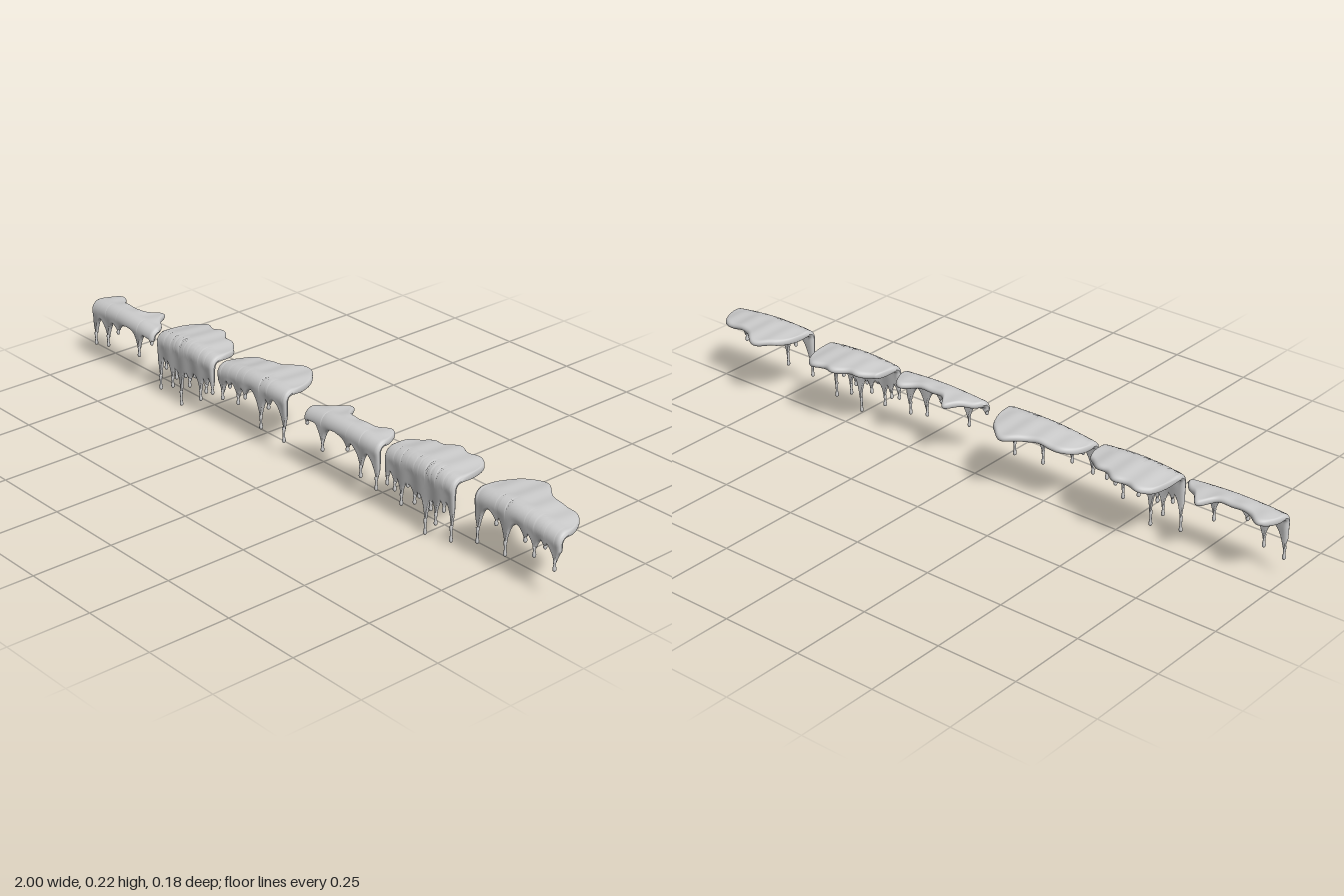
import * as THREE from 'three';

const material = new THREE.MeshStandardMaterial({ color: 0xcccccc, side: THREE.DoubleSide });
const FRONT = 0.076, BEND = 0.022;

// Each ledge spans x0..x1, and its mirrored copy sits at sum - x.
// top and hem: heights at both ends and the mid rise; depth, round and bumps
// [x, size, width] shape the back outline; drips are [x, tipY].
const ledges = [
  {
    name: 'shallowLedge', x0: -1, x1: -0.69, sum: -0.68,
    top: [0.204, 0.202, 0.008], hem: [0.158, 0.182, 0], flare: 0.014,
    depth: 0.06, round: [0.03, 0.06], bumps: [[-0.955, 0.03, 0.03], [-0.775, 0.045, 0.025]],
    drips: [[-0.989, 0.056], [-0.925, 0.07], [-0.87, 0.13], [-0.765, 0.09], [-0.7, 0.15]],
  },
  {
    name: 'longDripLedge', x0: -0.67, x1: -0.4, sum: -0.055,
    top: [0.206, 0.208, 0.01], hem: [0.15, 0.155, -0.025], flare: 0.0105,
    depth: 0.085, round: [0.025, 0.02], bumps: [[-0.615, 0.065, 0.05], [-0.535, 0.06, 0.04], [-0.465, 0.035, 0.035]],
    drips: [[-0.66, 0.018], [-0.63, 0.095], [-0.6, 0.045], [-0.58, 0.08], [-0.56, 0], [-0.535, 0.1],
      [-0.517, 0.075], [-0.49, 0.115], [-0.465, 0.05], [-0.438, 0.083], [-0.408, 0.09]],
  },
  {
    name: 'broadLedge', x0: -0.38, x1: -0.07, sum: 0.62,
    top: [0.204, 0.218, 0.01], hem: [0.168, 0.182, 0], flare: 0.015,
    depth: 0.115, round: [0.07, 0.045], bumps: [[-0.165, 0.053, 0.05]],
    drips: [[-0.36, 0.09], [-0.325, 0.14], [-0.288, 0.1], [-0.255, 0.13], [-0.185, 0.06], [-0.15, 0.135], [-0.083, 0.055]],
  },
];

const roundEnd = (d, r) => Math.sqrt(1 - (1 - THREE.MathUtils.clamp(d / r, 0, 1)) ** 2);

// Height along a ledge: straight between its ends plus a rise in the middle
function heightAt(l, [start, end, rise], x) {
  const f = (x - l.x0) / (l.x1 - l.x0);
  return start + (end - start) * f + rise * Math.sin(Math.PI * f);
}

// Wavy back outline: a slab with rounded corners and soft bumps
function backAt(l, x) {
  const reach = l.bumps.reduce((sum, [c, size, w]) => sum + size * Math.exp(-(((x - c) / w) ** 2)), l.depth);
  return FRONT - reach * roundEnd(x - l.x0, l.round[0]) * roundEnd(l.x1 - x, l.round[1]);
}

// Lower edge: arches that sag towards every drip
function hemAt(l, x) {
  const base = heightAt(l, l.hem, x);
  const sags = l.drips.map(([dx, tip]) => (base - tip) * 0.72 * Math.exp(-Math.abs(x - dx) / l.flare));
  return base - Math.max(0, ...sags);
}

// Thick sheet bent over the edge: one closed ring per column along x
function sheetGeometry(l, mirror) {
  const columns = 124, K = 28, ring = 2 * K - 2;
  const positions = [], index = [];
  for (let i = 0; i <= columns; i++) {
    const along = (l.x1 - l.x0) * i / columns;
    const x = mirror ? l.x1 - along : l.x0 + along;
    const placedX = mirror ? l.sum - x : x;
    const edge = roundEnd(Math.min(x - l.x0, l.x1 - x), 0.012);
    const topY = heightAt(l, l.top, x) - 0.01;
    const back = Math.min(backAt(l, x), FRONT - BEND);
    const flat = FRONT - BEND - back, arc = BEND * Math.PI / 2;
    const total = flat + arc + Math.max(0.005, topY - BEND - hemAt(l, x));
    const outer = [], inner = [];
    for (let k = 0; k < K; k++) {
      const s = total * (1 - Math.cos(Math.PI * k / (K - 1))) / 2;
      const a = THREE.MathUtils.clamp((s - flat) / BEND, 0, Math.PI / 2);
      const behind = Math.max(0, flat - s), down = Math.max(0, s - flat - arc);
      const ripple = 0.0012 * Math.sin(x * 90);
      const y = topY - BEND + BEND * Math.cos(a) - down - 0.05 * behind + ripple * Math.min(1, behind / 0.02);
      const z = FRONT - BEND + BEND * Math.sin(a) - behind + ripple * Math.min(1, down / 0.02);
      const half = 0.01 - 0.0055 * Math.min(1, down / 0.08);
      const t = half * edge * roundEnd(s, 0.012) * roundEnd(total - s, 0.006);
      outer.push([placedX, y + t * Math.cos(a), z + t * Math.sin(a)]);
      inner.push([placedX, y - t * Math.cos(a), z - t * Math.sin(a)]);
    }
    positions.push(...outer.flat(), ...inner.slice(1, -1).reverse().flat());
  }
  for (let i = 0; i < columns; i++) {
    for (let k = 0; k < ring; k++) {
      const a = i * ring + k, b = i * ring + (k + 1) % ring;
      index.push(a, b, a + ring, b, b + ring, a + ring);
    }
  }
  const geometry = new THREE.BufferGeometry();
  geometry.setAttribute('position', new THREE.Float32BufferAttribute(positions, 3));
  geometry.setIndex(index);
  geometry.computeVertexNormals();
  return geometry;
}

// Thin strand with a round drop at its tip
function strandGeometry(h) {
  const profile = [[0, 0], [0.0032, 0.001], [0.0052, 0.004], [0.0055, 0.008], [0.0045, 0.013], [0.0034, 0.02],
    [0.0036, Math.max(0.022, h * 0.65)], [0.0052, h], [0, h + 0.004]];
  return new THREE.LatheGeometry(profile.map(([r, y]) => new THREE.Vector2(r, y)), 10);
}

function buildLedge(l, mirror) {
  const group = new THREE.Group();
  group.name = l.name + (mirror ? 'Left' : 'Right');
  const sheet = new THREE.Mesh(sheetGeometry(l, mirror), material);
  sheet.name = 'sheet';
  group.add(sheet);
  for (const [x, tip] of l.drips) {
    const strand = new THREE.Mesh(strandGeometry(Math.max(0.03, hemAt(l, x) + 0.012 - tip)), material);
    strand.name = 'drip';
    strand.position.set(mirror ? l.sum - x : x, tip, FRONT + 0.002);
    group.add(strand);
  }
  return group;
}

export function createModel() {
  const model = new THREE.Group();
  model.name = 'drippingLedges';
  for (const l of ledges) model.add(buildLedge(l, false), buildLedge(l, true));
  return model;
}
